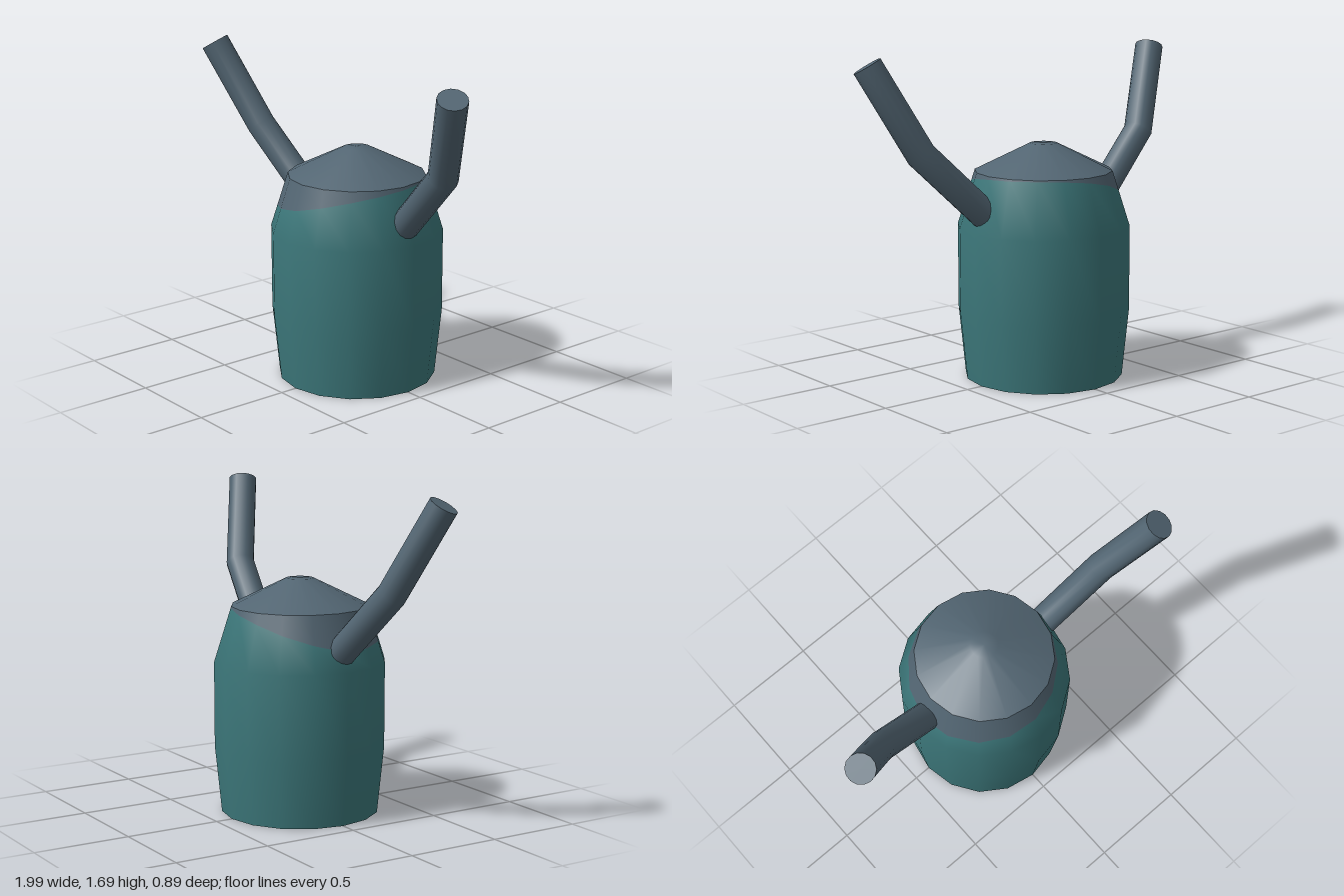
import * as THREE from 'three';

const SIDES = 16;
const teal = new THREE.MeshStandardMaterial({ name: 'teal', color: 0x3c777a });
const slate = new THREE.MeshStandardMaterial({ name: 'slate', color: 0x526572 });

// Height of the slanted colour border, from the front round by the left, back and right
const BORDER = [0.947, 0.985, 1.02, 1.045, 1.06, 1.065, 1.068, 1.065,
  1.05, 1.02, 0.975, 0.93, 0.89, 0.89, 0.9, 0.92];
const SHOULDER = { r: 0.445, y: 0.79 };
const RIM = { r: 0.355, y: 1.075 };

function mesh(name, geometry, material) {
  const m = new THREE.Mesh(geometry, material);
  m.name = name;
  return m;
}

// Lathe whose given row is moved along the sloping shoulder to the colour border
function lathe(profile, borderRow = -1) {
  const g = new THREE.LatheGeometry(profile.map(([r, y]) => new THREE.Vector2(r, y)), SIDES);
  if (borderRow < 0) return g;
  const pos = g.attributes.position;
  for (let i = 0; i <= SIDES; i++) {
    const y = BORDER[i % SIDES];
    const t = (y - SHOULDER.y) / (RIM.y - SHOULDER.y);
    const r = THREE.MathUtils.lerp(SHOULDER.r, RIM.r, t);
    const a = i / SIDES * Math.PI * 2;
    pos.setXYZ(i * profile.length + borderRow, r * Math.sin(a), y, r * Math.cos(a));
  }
  return g;
}

// Round arm through three points with a mitred elbow and flat ends
function armGeometry(points, radius) {
  const [base, elbow, tip] = points;
  const d1 = elbow.clone().sub(base).normalize();
  const d2 = tip.clone().sub(elbow).normalize();
  const mid = d1.clone().add(d2).normalize();
  const n = d1.clone().cross(d2).normalize();
  const rows = [
    { c: base, t: d1, k: 1 },
    { c: elbow, t: mid, k: 1 / mid.dot(d1) },
    { c: tip, t: d2, k: 1 },
  ];
  const g = new THREE.CylinderGeometry(radius, radius, 1, 14, 2);
  const pos = g.attributes.position, nor = g.attributes.normal;
  for (let i = 0; i < pos.count; i++) {
    const { c, t, k } = rows[Math.round((pos.getY(i) + 0.5) * 2)];
    const side = n.clone().cross(t);
    const p = c.clone().addScaledVector(n, pos.getX(i)).addScaledVector(side, pos.getZ(i) * k);
    const q = n.clone().multiplyScalar(nor.getX(i))
      .addScaledVector(t, nor.getY(i)).addScaledVector(side, nor.getZ(i));
    pos.setXYZ(i, p.x, p.y, p.z);
    nor.setXYZ(i, q.x, q.y, q.z);
  }
  return g;
}

export function createModel() {
  const model = new THREE.Group();
  model.name = 'armedBarrel';

  // Barrel body, its upper collar and the low domed lid
  const shoulder = [SHOULDER.r, SHOULDER.y], rim = [RIM.r, RIM.y];
  const halfway = [0.4, 0.9325];
  model.add(mesh('body', lathe([[0.41, 0], [0.445, 0.35], shoulder, halfway], 3), teal));
  model.add(mesh('collar', lathe([halfway, rim], 0), slate));
  model.add(mesh('lid', lathe([rim, [0.07, 1.215], [0, 1.215]]), slate));
  const bottom = mesh('bottom', new THREE.CircleGeometry(0.41, SIDES), teal);
  bottom.rotation.x = Math.PI / 2;
  model.add(bottom);

  // Raised arms, mirrored left and right
  for (const s of [1, -1]) {
    const path = [[0.38, 0.885, 0.005], [0.72, 1.212, 0.067], [0.93, 1.648, 0.21]]
      .map(([x, y, z]) => new THREE.Vector3(s * x, y, z));
    model.add(mesh(s > 0 ? 'leftArm' : 'rightArm', armGeometry(path, 0.075), slate));
  }
  return model;
}
